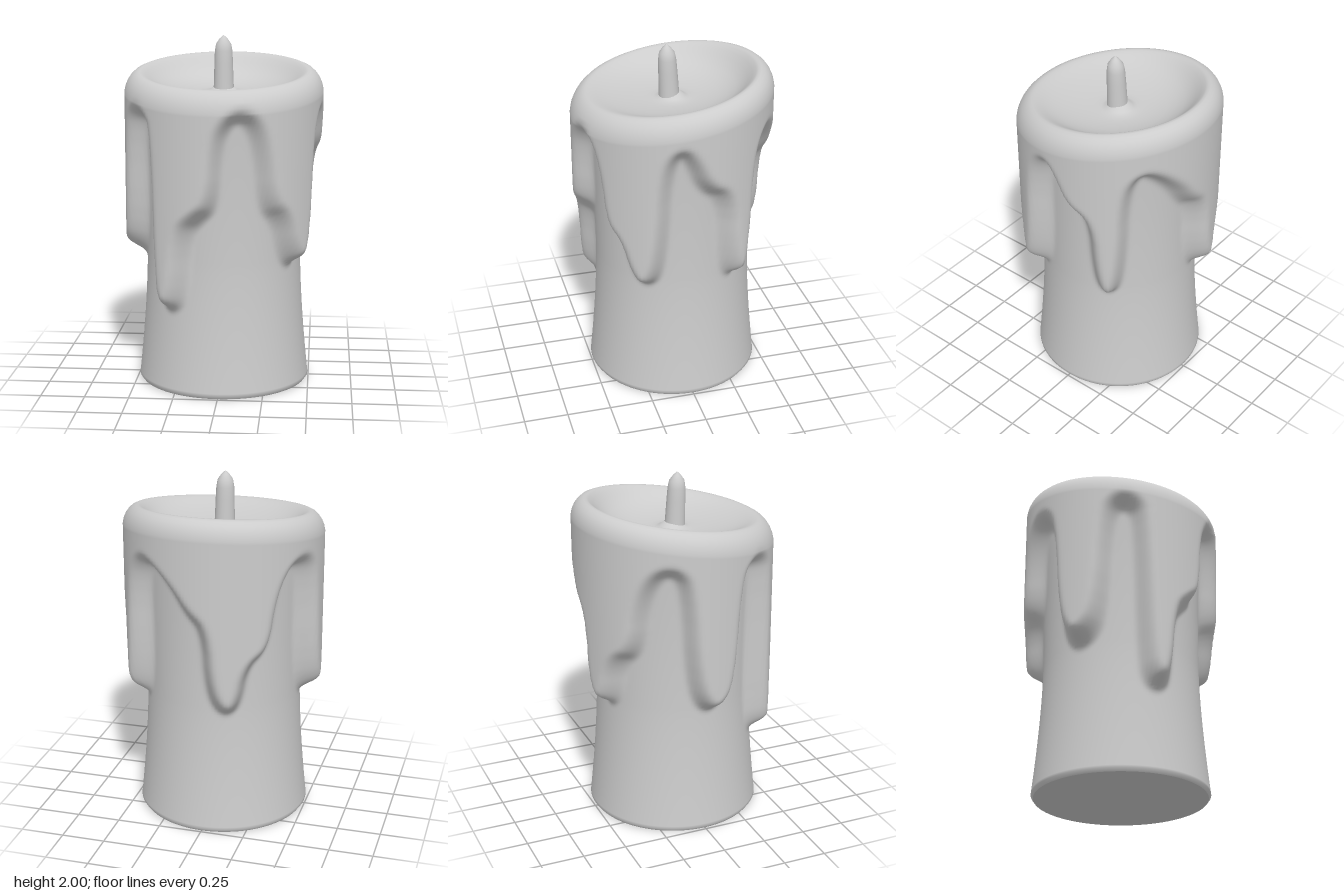
import * as THREE from 'three';

const SIDES = 180;
const wax = new THREE.MeshStandardMaterial({ color: 0xcccccc });
wax.name = 'wax grey';

// Lower edge of the melted wax: [degrees round from the front towards +x, height]
const EDGE = [
  [-46, 1.5], [-43, 0.66], [-40, 0.54], [-34, 0.5], [-26, 0.56], [-22, 0.95], [-13, 1.03], [-3, 1.1],
  [0, 1.45], [6, 1.56], [13, 1.6], [22, 1.56], [28, 1.4], [32, 1.1], [42, 1.02], [48, 0.84], [55, 0.75],
  [64, 0.78], [69, 1.0], [72, 1.45], [80, 1.6], [87, 1.53], [95, 1.36], [110, 1.28], [113, 0.88],
  [119, 0.75], [126, 0.78], [130, 1.0], [132, 1.45], [140, 1.6], [150, 1.57], [163, 1.46], [172, 1.34],
  [183, 1.25], [186, 0.88], [195, 0.75], [204, 0.79], [210, 1.04], [224, 1.12], [229, 1.42], [238, 1.58],
  [249, 1.6], [256, 1.5], [260, 0.95], [268, 0.77], [280, 0.78], [289, 0.93], [293, 1.5], [300, 1.6], [309, 1.58],
];
const ARC = 0.5 * Math.PI / 180; // surface length of one degree

// Round the corners of the edge by cutting them twice
let edgeLine = [-360, 0, 360].flatMap(o => EDGE.map(([a, y]) => [(a + o) * ARC, y]));
for (let n = 0; n < 2; n++) {
  edgeLine = edgeLine.slice(1).flatMap(([bx, by], i) => {
    const [ax, ay] = edgeLine[i];
    return [0.25, 0.75].map(k => [ax + (bx - ax) * k, ay + (by - ay) * k]);
  });
}

// Signed distance on the unrolled side from the wax edge, positive inside the wax
function edgeDistance(deg, y) {
  const px = deg * ARC;
  let best = 0.2, above = false;
  for (let i = 0; i < edgeLine.length - 1; i++) {
    const [ax, ay] = edgeLine[i], [bx, by] = edgeLine[i + 1];
    if (bx < px - 0.2 || ax > px + 0.2) continue;
    const dx = bx - ax, dy = by - ay;
    const k = THREE.MathUtils.clamp(((px - ax) * dx + (y - ay) * dy) / (dx * dx + dy * dy), 0, 1);
    best = Math.min(best, Math.hypot(px - ax - k * dx, y - ay - k * dy));
    if (px >= ax && px < bx) above = y > ay + dy * (px - ax) / dx;
  }
  return above ? best : -best;
}

const coreRadius = y => (y < 0.75
  ? 0.445 + 0.053 * Math.pow(1 - y / 0.75, 1.6)
  : 0.445 + 0.045 * (y - 0.75) ** 2);

// Wax cover is averaged over nearby points so the drips are rounded
const BLUR = [[0, 0], [2.5, 0], [-2.5, 0], [0, 0.025], [0, -0.025]];
function sideRadius(deg, y) {
  const core = coreRadius(y);
  let cover = 0;
  for (const [da, dy] of BLUR) {
    cover += THREE.MathUtils.smoothstep(edgeDistance(deg + da, y + dy), -0.04, 0.045) / BLUR.length;
  }
  return core + (0.568 - core) * cover;
}

const rimHeight = (r, phi) => 1.8 - 0.14 * r * Math.cos(phi); // slanted top

// Skin a stack of closed rings; ring(phi, deg) gives [radius, height]
function skin(rings) {
  const pos = [], index = [];
  rings.forEach((ring, i) => {
    for (let j = 0; j < SIDES; j++) {
      const deg = j * 360 / SIDES, phi = THREE.MathUtils.degToRad(deg);
      const [r, y] = ring(phi, deg);
      pos.push(r * Math.sin(phi), y, r * Math.cos(phi));
      if (i === rings.length - 1) continue;
      const a = i * SIDES + j, b = i * SIDES + (j + 1) % SIDES;
      index.push(a, b, b + SIDES, a, b + SIDES, a + SIDES);
    }
  });
  const g = new THREE.BufferGeometry();
  g.setAttribute('position', new THREE.Float32BufferAttribute(pos, 3));
  g.setIndex(index);
  g.computeVertexNormals();
  return g;
}

export function createModel() {
  const group = new THREE.Group();
  const add = (name, geometry) => {
    const mesh = new THREE.Mesh(geometry, wax);
    mesh.name = name;
    group.add(mesh);
  };

  // Side with drips, from the bevelled foot up to the shoulder
  const rings = [() => [0.483, 0]];
  const ROWS = 110;
  for (let i = 0; i <= ROWS; i++) {
    rings.push((phi, deg) => {
      const y = THREE.MathUtils.lerp(0.018, rimHeight(0.568, phi) - 0.11, i / ROWS);
      return [sideRadius(deg, y), y];
    });
  }
  // Rounded rim: [radius, drop below the slanted top]
  [[0.562, 0.08], [0.55, 0.052], [0.535, 0.03], [0.515, 0.011], [0.495, 0.002], [0.48, 0]].forEach(([r, drop]) =>
    rings.push(phi => [r, rimHeight(r, phi) - drop]));
  // Bowl: [radius, blend from the slanted rim to the level floor]
  [[0.465, 0.04], [0.445, 0.14], [0.42, 0.29], [0.39, 0.46], [0.355, 0.61], [0.31, 0.75], [0.26, 0.86],
    [0.2, 0.95], [0.14, 1], [0.1, 0.99], [0.075, 0.93], [0.05, 0.75], [0.02, 0.7]].forEach(([r, k]) =>
    rings.push(phi => [r, THREE.MathUtils.lerp(rimHeight(r, phi), 1.685, k)]));
  add('candleBody', skin(rings));

  // Flat underside
  add('underside', new THREE.CircleGeometry(0.483, SIDES).rotateX(Math.PI / 2));

  // Wick with a pointed tip, leaning slightly to the front
  const profile = [[0.06, 1.66], [0.056, 1.74], [0.053, 1.84], [0.05, 1.91], [0.043, 1.95], [0.022, 1.98], [0, 2]]
    .map(([r, y]) => new THREE.Vector2(r, y));
  const wick = new THREE.LatheGeometry(profile, 24);
  const p = wick.attributes.position;
  for (let i = 0; i < p.count; i++) p.setZ(i, p.getZ(i) + 0.012 + (p.getY(i) - 1.66) * 0.05);
  add('wick', wick);

  return group;
}
